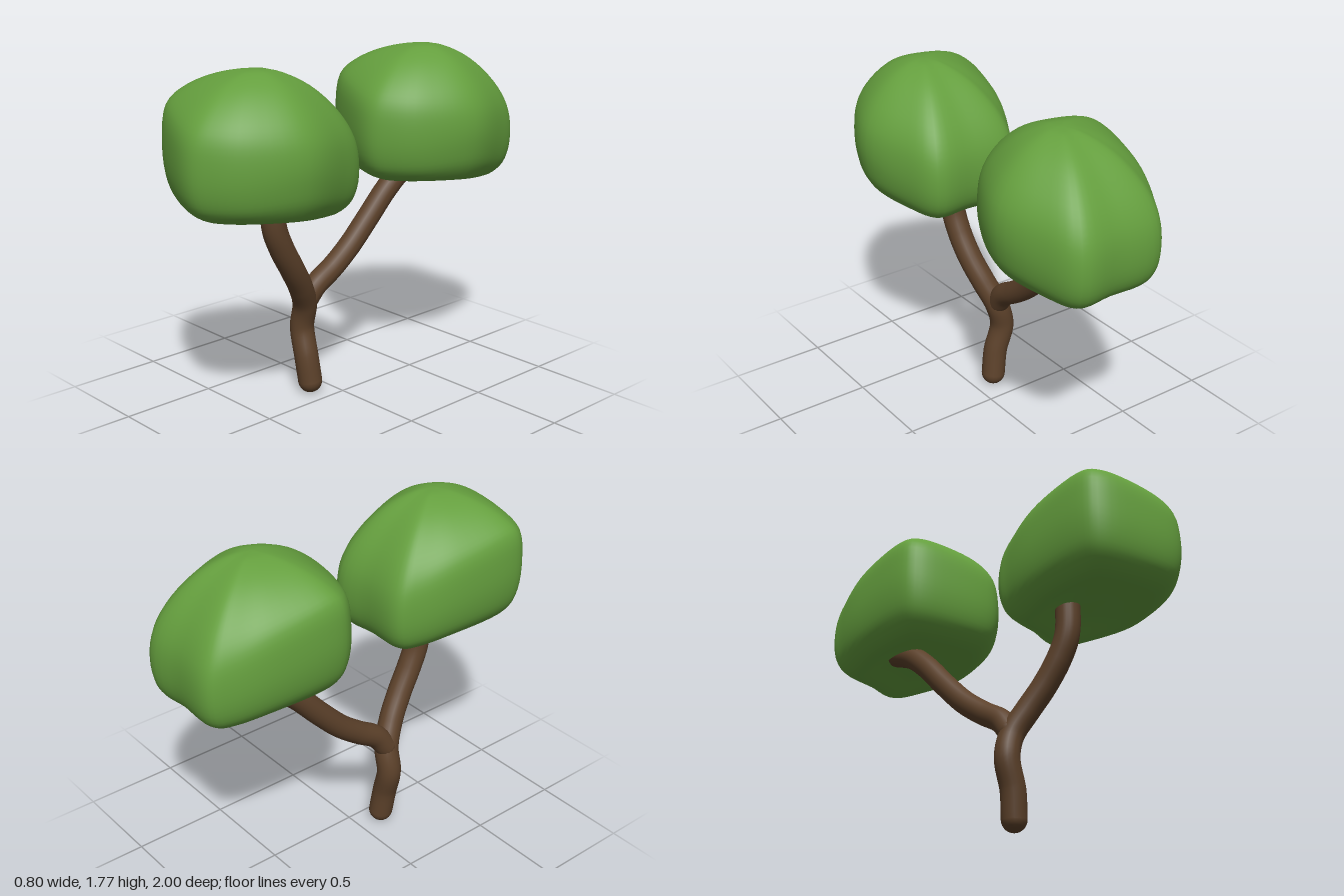
import * as THREE from 'three';

const leafMat = new THREE.MeshStandardMaterial({ color: 0x659f3e });
const barkMat = new THREE.MeshStandardMaterial({ color: 0x5c412a });
const v = (x, y, z) => new THREE.Vector3(x, y, z);

// Crown outline seen from above: x, z, shoulder height, lower wall height, base height
const OUTLINE = [
  [-0.20, 0.11, 1.43, 1.17, 1.05],
  [0.02, 0.11, 1.43, 1.17, 1.05],
  [0.23, 0.11, 1.43, 1.17, 1.05],
  [0.33, 0.29, 1.47, 1.22, 1.07],
  [0.395, 0.55, 1.50, 1.28, 1.10],
  [0.29, 0.81, 1.51, 1.26, 1.11],
  [0.15, 0.95, 1.52, 1.25, 1.11],
  [0.02, 0.99, 1.53, 1.25, 1.11],
  [-0.19, 0.92, 1.57, 1.26, 1.11],
  [-0.36, 0.82, 1.60, 1.28, 1.11],
  [-0.40, 0.69, 1.61, 1.30, 1.11],
  [-0.355, 0.40, 1.54, 1.25, 1.09],
  [-0.28, 0.21, 1.47, 1.19, 1.06],
];

// Closed lumpy crown: vertical profile curves joined by smooth rings
function crownGeometry() {
  const rows = 40, sides = 64, top = 1.77, cx = 0.02, cz = 0.56;
  const columns = OUTLINE.map(([x, z, shoulder, low, base]) => {
    const at = (r, y) => v(cx + (x - cx) * r, y, cz + (z - cz) * r);
    const drop = top - shoulder;
    return new THREE.CatmullRomCurve3([
      at(0, top), at(0.2, top - 0.04 * drop), at(0.52, top - 0.27 * drop),
      at(0.8, top - 0.66 * drop), at(0.95, shoulder - 0.01),
      at(1, (shoulder + low) / 2), at(0.98, low), at(0.9, (low + base) / 2 - 0.015),
      at(0.72, base), at(0.4, 1.11), at(0, 1.13),
    ]);
  });
  const pos = [], index = [];
  for (let i = 0; i <= rows; i++) {
    const ring = new THREE.CatmullRomCurve3(
      columns.map((c) => c.getPoint(i / rows)), true, 'catmullrom', 0.5);
    for (let j = 0; j < sides; j++) {
      const p = ring.getPoint(j / sides);
      pos.push(p.x, p.y, p.z);
      if (i === rows) continue;
      const a = i * sides + j, b = i * sides + (j + 1) % sides;
      if (i < rows - 1) index.push(a, a + sides, b + sides);
      if (i > 0) index.push(a, b + sides, b);
      if (i === rows - 1) continue;
    }
  }
  // Turn the faces outward: the outline runs counter-clockwise around -y
  for (let k = 0; k < index.length; k += 3) {
    const [A, B, C] = [0, 1, 2].map((n) => new THREE.Vector3().fromArray(pos, index[k + n] * 3));
    const mid = A.clone().add(B).add(C).divideScalar(3).sub(v(cx, 1.4, cz));
    if (B.sub(A).cross(C.sub(A)).dot(mid) < 0) {
      [index[k + 1], index[k + 2]] = [index[k + 2], index[k + 1]];
    }
  }
  const geo = new THREE.BufferGeometry();
  geo.setAttribute('position', new THREE.Float32BufferAttribute(pos, 3));
  geo.setIndex(index);
  geo.computeVertexNormals();
  // Both poles get a plain vertical normal
  for (let j = 0; j < sides; j++) {
    geo.attributes.normal.setXYZ(j, 0, 1, 0);
    geo.attributes.normal.setXYZ(rows * sides + j, 0, -1, 0);
  }
  return geo;
}

// Round limb along a smooth path, with a rounded start
function limb(name, points, radius) {
  const group = new THREE.Group();
  group.name = name;
  const path = new THREE.CatmullRomCurve3(points);
  const tube = new THREE.Mesh(new THREE.TubeGeometry(path, 60, radius, 20), barkMat);
  const cap = new THREE.Mesh(new THREE.SphereGeometry(radius, 20, 14), barkMat);
  tube.name = name + 'Tube';
  cap.name = name + 'RoundedEnd';
  cap.position.copy(points[0]);
  group.add(tube, cap);
  return group;
}

export function createModel() {
  const model = new THREE.Group();
  model.name = 'tree';

  // Winding trunk that leans forward into the front crown
  model.add(limb('trunk', [
    v(-0.11, 0.063, 0.13), v(-0.13, 0.2, 0.138), v(-0.168, 0.35, 0.132),
    v(-0.138, 0.48, 0.138), v(-0.098, 0.6, 0.2), v(-0.068, 0.72, 0.28),
    v(-0.054, 0.85, 0.36), v(-0.05, 0.97, 0.408), v(-0.05, 1.18, 0.415),
  ], 0.063));

  // Branch rising backward to the rear crown
  model.add(limb('backBranch', [
    v(-0.14, 0.5, 0.125), v(-0.13, 0.57, 0.07), v(-0.125, 0.64, -0.04),
    v(-0.125, 0.73, -0.16), v(-0.12, 0.86, -0.29), v(-0.11, 1.0, -0.42),
    v(-0.1, 1.09, -0.53), v(-0.09, 1.14, -0.65),
  ], 0.06));

  // Two matching crowns
  const crown = crownGeometry();
  [['frontCrown', 0], ['backCrown', -1.105]].forEach(([name, z]) => {
    const mesh = new THREE.Mesh(crown, leafMat);
    mesh.name = name;
    mesh.position.z = z;
    model.add(mesh);
  });
  return model;
}
